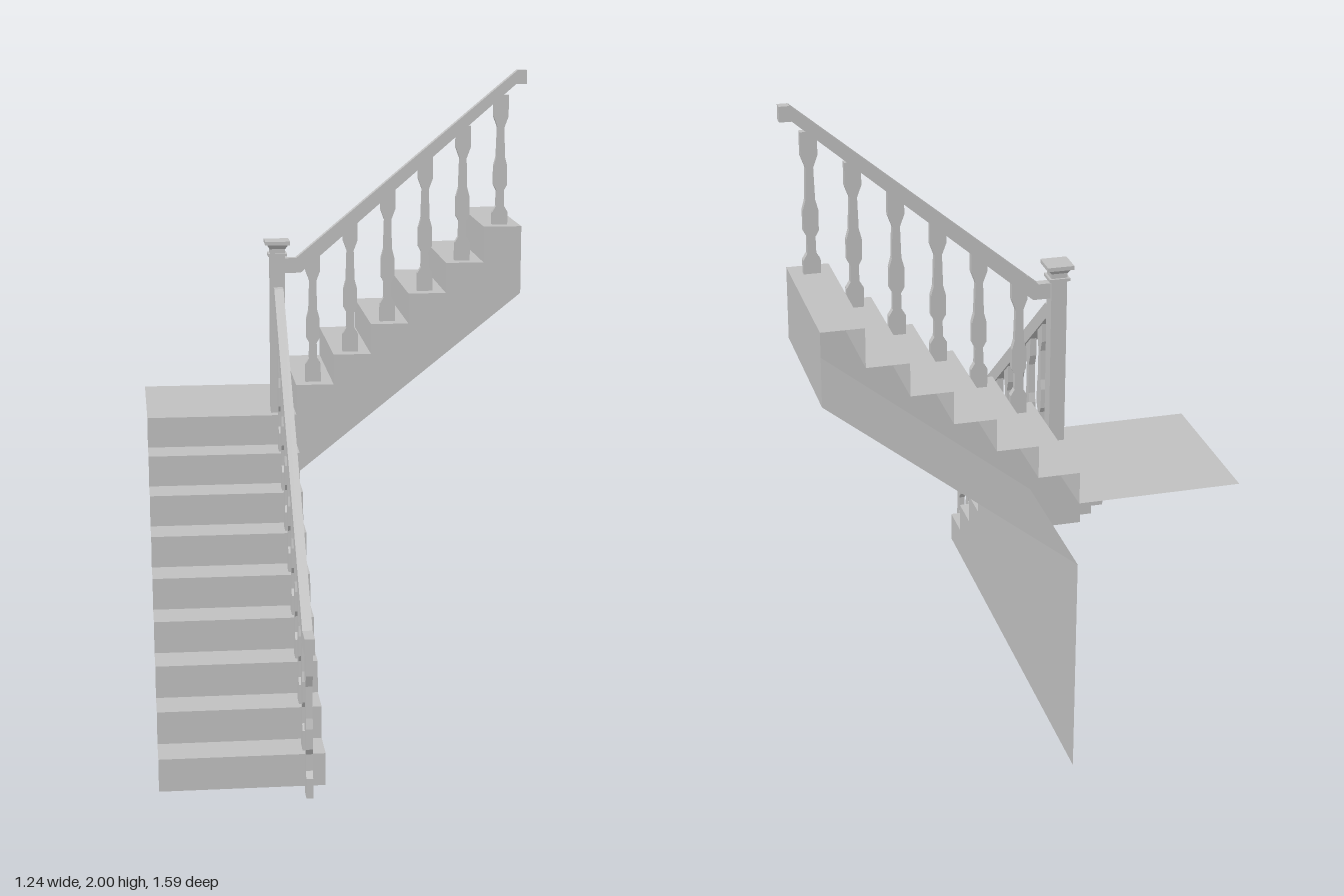
import * as THREE from 'three';

const RISE = 0.0988;
const RUN = 0.1228;

const paint = new THREE.MeshStandardMaterial({ color: 0xc0c0c0, side: THREE.DoubleSide });
paint.name = 'plain grey';

function add(parent, geometry, name) {
  const mesh = new THREE.Mesh(geometry, paint);
  mesh.name = name;
  parent.add(mesh);
  return mesh;
}

const toShape = (pts) => new THREE.Shape(pts.map(([x, y]) => new THREE.Vector2(x, y)));

// Flat outline in x/y given a thickness centred on z
function board(pts, z, depth) {
  return new THREE.ExtrudeGeometry(toShape(pts), { depth, bevelEnabled: false })
    .translate(0, 0, z - depth / 2);
}

// Thin sheet: a polyline in x/y swept from z0 to z1, with flat faces
function sheet(pts, z0, z1) {
  const pos = [];
  for (let i = 0; i < pts.length - 1; i++) {
    const [ax, ay] = pts[i];
    const [bx, by] = pts[i + 1];
    pos.push(ax, ay, z0, ax, ay, z1, bx, by, z1, ax, ay, z0, bx, by, z1, bx, by, z0);
  }
  const g = new THREE.BufferGeometry();
  g.setAttribute('position', new THREE.Float32BufferAttribute(pos, 3));
  g.computeVertexNormals();
  return g;
}

// Zigzag of risers and treads; the last riser ends without a tread
function zigzag(x, y, count) {
  const pts = [[x, y]];
  for (let i = 0; i < count; i++) {
    pts.push([x + i * RUN, y + (i + 1) * RISE]);
    if (i < count - 1) pts.push([x + (i + 1) * RUN, y + (i + 1) * RISE]);
  }
  return pts;
}

// Half-profile of a flat-sawn baluster: height, half width
const BALUSTER = [
  [0, 0.025], [0.06, 0.025], [0.08, 0.013], [0.13, 0.012], [0.148, 0.022],
  [0.21, 0.022], [0.24, 0.014], [0.335, 0.011], [0.37, 0.024], [0.44, 0.024],
];

function addBalusters(parent, x, y, z, count) {
  const outline = [
    ...BALUSTER.map(([h, w]) => [w, h]),
    ...BALUSTER.slice().reverse().map(([h, w]) => [-w, h]),
  ];
  const geometry = board(outline, 0, 0.02);
  for (let i = 0; i < count; i++) {
    add(parent, geometry, 'baluster').position.set(x + i * RUN, y + i * RISE, z);
  }
}

export function createModel() {
  const model = new THREE.Group();
  model.name = 'staircase';

  // Lower flight, built along x and turned to climb toward the back
  const lower = new THREE.Group();
  lower.name = 'lowerFlight';
  lower.rotation.y = Math.PI / 2;
  model.add(lower);

  const lowerSteps = zigzag(-0.68, 0, 9);
  add(lower, sheet([...lowerSteps, [0.795, 0.889]], -0.622, -0.135), 'lowerStepsAndLanding');
  const wall = [...lowerSteps.slice(0, -1), [0.303, 0.69], [0.795, 0.69], [0.795, 0]];
  add(lower, new THREE.ShapeGeometry(toShape(wall)).translate(0, 0, -0.135), 'lowerSideWall');

  addBalusters(lower, -0.75, 0, -0.19, 9);
  add(lower, board([
    [-0.795, 0.44], [-0.71, 0.44], [0.305, 1.258], [0.345, 1.258],
    [0.345, 1.307], [0.3, 1.307], [-0.717, 0.488], [-0.795, 0.488],
  ], -0.19, 0.03), 'lowerHandrail');

  // Upper flight, turning to the side from the landing
  const upper = new THREE.Group();
  upper.name = 'upperFlight';
  model.add(upper);

  const upperOutline = [
    ...zigzag(-0.135, 0.889, 6), [0.602, 0.889 + 6 * RISE + 0.018], [0.602, 1.28], [-0.135, 0.69],
  ];
  // Keep the top tread level with the last riser
  const topY = 0.889 + 6 * RISE + 0.018;
  upperOutline[11][1] = topY;
  add(upper, sheet(upperOutline, -0.797, -0.305), 'upperStepsAndSoffit');
  add(upper, new THREE.ShapeGeometry(toShape(upperOutline)).translate(0, 0, -0.305), 'upperSidePanel');

  addBalusters(upper, -0.075, 0.987, -0.363, 6);
  add(upper, board([
    [-0.17, 1.352], [-0.115, 1.352], [0.585, 1.955], [0.62, 1.955],
    [0.62, 2], [0.59, 2], [-0.13, 1.4], [-0.17, 1.4],
  ], -0.363, 0.028), 'upperHandrail');

  // Newel post at the turn, with collar and stepped cap
  const newel = new THREE.Group();
  newel.name = 'newelPost';
  newel.position.set(-0.191, 0, -0.363);
  model.add(newel);
  const block = (width, y0, y1, name) =>
    add(newel, new THREE.BoxGeometry(width, y1 - y0, width).translate(0, (y0 + y1) / 2, 0), name);
  block(0.048, 0.889, 1.44, 'post');
  block(0.062, 1.408, 1.417, 'collar');
  const flare = new THREE.CylinderGeometry(0.034 * Math.SQRT2, 0.025 * Math.SQRT2, 0.014, 4)
    .rotateY(Math.PI / 4).toNonIndexed();
  flare.computeVertexNormals();
  add(newel, flare.translate(0, 1.439, 0), 'capFlare');
  block(0.08, 1.446, 1.458, 'cap');

  return model;
}
